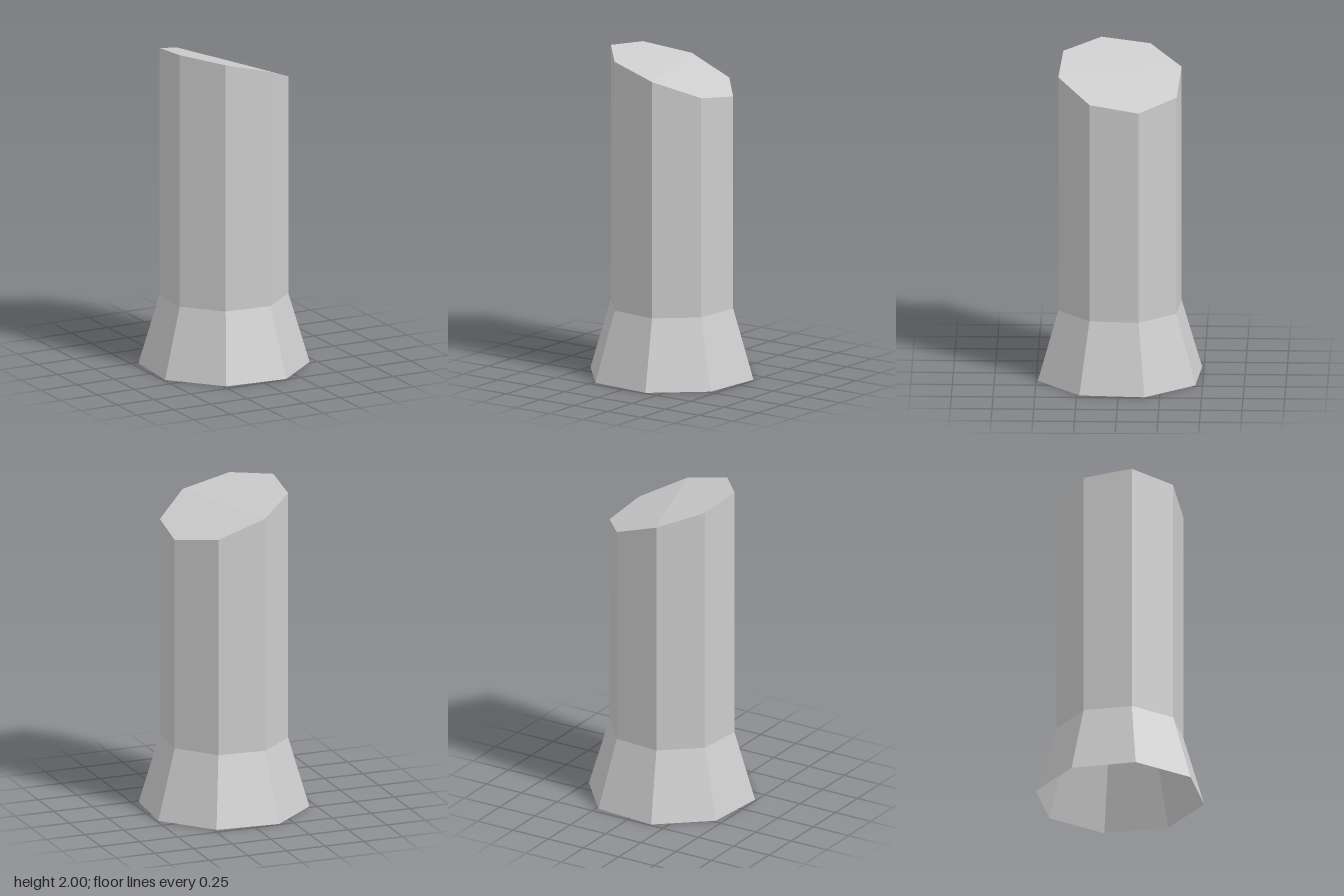
import * as THREE from 'three';

const SIDES = 8;
const START = THREE.MathUtils.degToRad(18);   // turn of the octagon about y
const BASE_R = 0.514, SHAFT_R = 0.386;
const FLARE_H = 0.43, MID_H = 1.89;

// Height of the slanted, slightly folded top at a point
function topHeight(x, z) {
  const d = (x * Math.cos(START) - z * Math.sin(START)) / SHAFT_R;
  return MID_H - d * (d > 0 ? 0.15 : 0.11);
}

// Lift every vertex above the given height onto the slanted top
function slant(geometry, above) {
  const p = geometry.attributes.position;
  for (let i = 0; i < p.count; i++) {
    if (p.getY(i) > above) p.setY(i, topHeight(p.getX(i), p.getZ(i)));
  }
  geometry.computeVertexNormals();
  return geometry;
}

// Open octagonal ring standing between two heights
function ring(topR, bottomR, y0, y1) {
  return new THREE.CylinderGeometry(topR, bottomR, y1 - y0, SIDES, 1, true, START)
    .translate(0, (y0 + y1) / 2, 0);
}

export function createModel() {
  const group = new THREE.Group();
  const material = new THREE.MeshStandardMaterial({
    color: 0xcccccc, flatShading: true, side: THREE.DoubleSide,
  });
  const add = (name, geometry) => {
    const mesh = new THREE.Mesh(geometry, material);
    mesh.name = name;
    group.add(mesh);
  };

  // Flared foot, open underneath
  add('flaredBase', ring(SHAFT_R, BASE_R, 0, FLARE_H));

  // Straight shaft with a slanted upper rim
  add('shaft', slant(ring(SHAFT_R, SHAFT_R, FLARE_H, MID_H), 1));

  // Slanted cap closing the top
  const cap = new THREE.CircleGeometry(SHAFT_R, SIDES, START - Math.PI / 2)
    .rotateX(-Math.PI / 2).translate(0, MID_H, 0);
  add('slantedTop', slant(cap, 1));

  return group;
}
